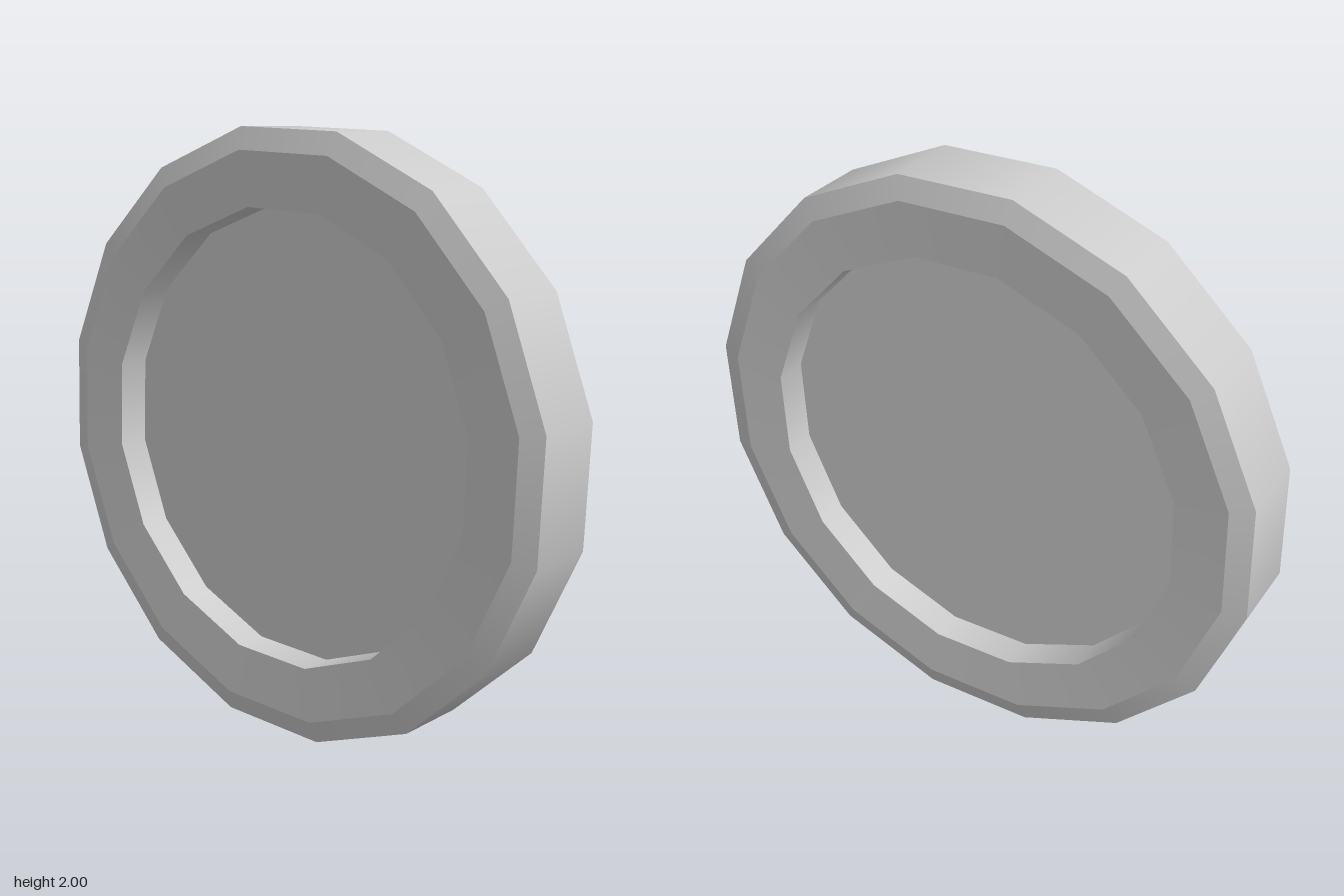
import * as THREE from 'three';

const SIDES = 16;
const TURN = THREE.MathUtils.degToRad(9.1);

// One ring of facets around the z axis, from profile point [radius, z] to the next.
function band(name, from, to, material) {
  const points = [from, to].map(([r, z]) => new THREE.Vector2(r, z));
  const geometry = new THREE.LatheGeometry(points, SIDES, TURN);
  geometry.rotateX(Math.PI / 2);
  const mesh = new THREE.Mesh(geometry, material);
  mesh.name = name;
  return mesh;
}

export function createModel() {
  const group = new THREE.Group();
  group.name = 'recessedDisc';
  const material = new THREE.MeshStandardMaterial({ color: 0xcccccc });

  // Front half of the profile, from the outer edge in to the centre
  const profile = [[1.012, 0.126], [0.938, 0.15], [0.757, 0.141], [0.757, 0.03], [0, 0.03]];
  const names = ['Chamfer', 'RimFace', 'RecessWall', 'RecessFloor'];

  // Outer tread
  group.add(band('outerTread', [1.012, -0.126], [1.012, 0.126], material));

  // Same bands on the front and, mirrored, on the back
  names.forEach((name, i) => {
    const [a, b] = [profile[i], profile[i + 1]];
    group.add(band('front' + name, a, b, material));
    group.add(band('back' + name, [b[0], -b[1]], [a[0], -a[1]], material));
  });

  group.position.y = 1;
  const model = new THREE.Group();
  model.name = 'disc';
  model.add(group);
  return model;
}
